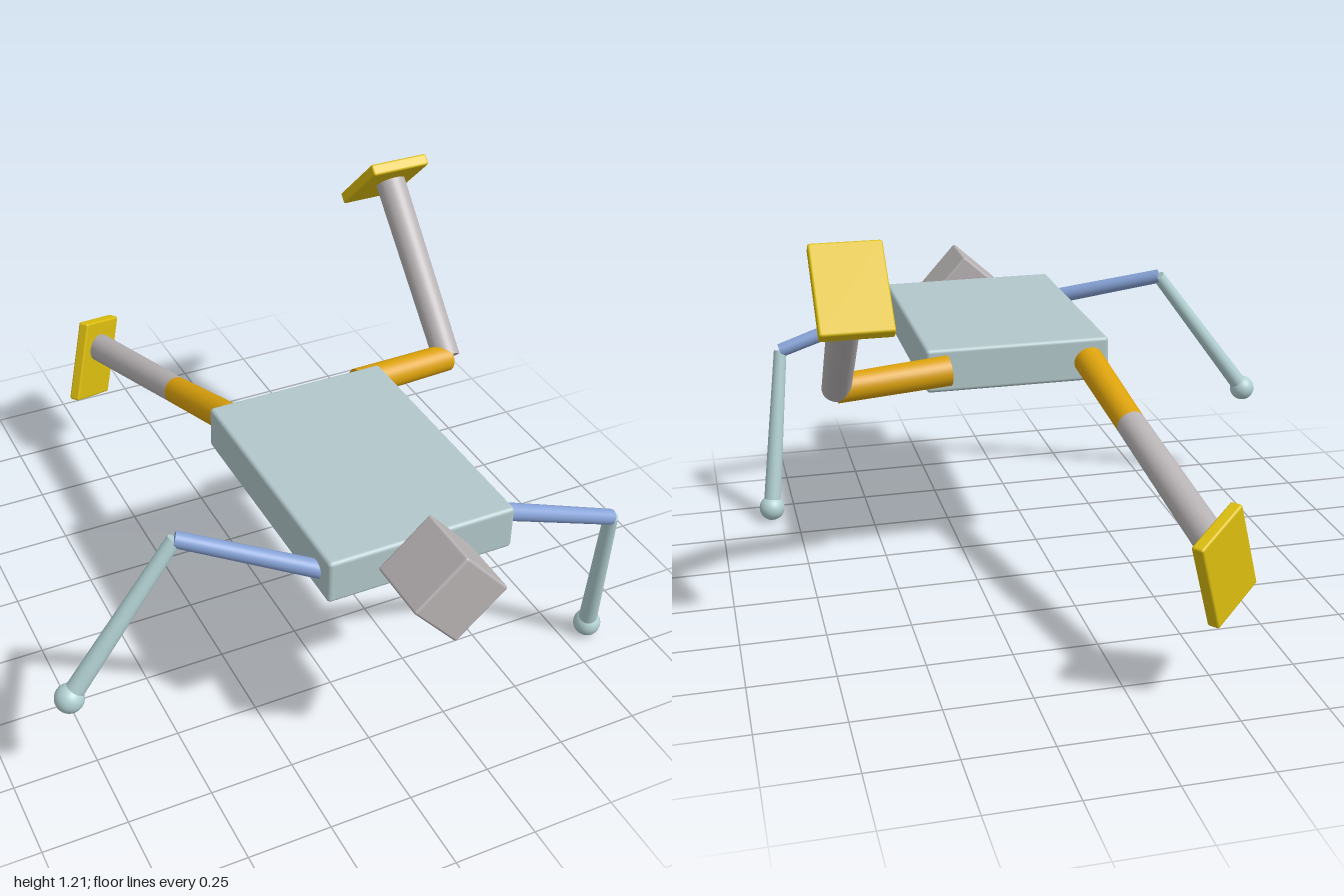
import * as THREE from 'three';
import { RoundedBoxGeometry } from 'three/addons/geometries/RoundedBoxGeometry.js';

export function createModel() {
  const root = new THREE.Group();
  root.name = 'posedFigure';

  const mat = (name, color) => {
    const m = new THREE.MeshStandardMaterial({ color });
    m.name = name;
    return m;
  };
  const paleBlue = mat('pale blue grey', 0xb2c7cb);
  const paleCyan = mat('pale cyan', 0xb2d0d2);
  const blue = mat('soft blue', 0x86a2d6);
  const grey = mat('warm grey', 0xb8b3b4);
  const orange = mat('orange', 0xdca20c);
  const yellow = mat('yellow', 0xdcbe0e);

  const V = (p) => new THREE.Vector3(...p);

  const add = (parent, name, geometry, material, position) => {
    const mesh = new THREE.Mesh(geometry, material);
    mesh.name = name;
    mesh.position.copy(position);
    parent.add(mesh);
    return mesh;
  };

  // Capped, slightly tapered limb segment between two points
  const segment = (parent, name, a, b, rA, rB, material) => {
    const from = V(a), dir = V(b).sub(from);
    const mesh = add(parent, name, new THREE.CylinderGeometry(rB, rA, dir.length(), 32), material,
      from.clone().addScaledVector(dir, 0.5));
    mesh.quaternion.setFromUnitVectors(new THREE.Vector3(0, 1, 0), dir.normalize());
  };

  // Torso slab and the head, a cube turned on its corner
  add(root, 'torso', new RoundedBoxGeometry(0.565, 0.135, 0.785, 3, 0.012), paleBlue, V([0.108, 0.695, 0.405]));
  const head = add(root, 'head', new RoundedBoxGeometry(0.2, 0.2, 0.2, 3, 0.008), grey, V([0.108, 0.697, 0.9]));
  head.rotation.z = Math.PI / 4 - 0.05;

  // Arms: shoulder, elbow, wrist and ball hand
  const arms = [
    { name: 'leftArm', shoulder: [0.385, 0.703, 0.727], elbow: [0.765, 0.568, 0.745], hand: [0.831, 0.045, 0.637] },
    { name: 'rightArm', shoulder: [-0.165, 0.693, 0.73], elbow: [-0.51, 0.79, 0.563], hand: [-0.834, 0.357, 0.574] },
  ];
  for (const { name, shoulder, elbow, hand } of arms) {
    const arm = new THREE.Group();
    arm.name = name;
    root.add(arm);
    const wrist = V(elbow).lerp(V(hand), 0.95).toArray();
    segment(arm, 'upperArm', shoulder, elbow, 0.026, 0.023, blue);
    segment(arm, 'forearm', elbow, wrist, 0.021, 0.028, paleCyan);
    add(arm, 'hand', new THREE.SphereGeometry(0.042, 32, 20), paleCyan, V(hand));
  }

  // Legs: hip, knee, ankle and a flat foot set by its width and length directions
  const legs = [
    {
      name: 'leftLeg', hip: [0.325, 0.7, 0], knee: [0.665, 0.683, -0.035], ankle: [0.665, 1.11, -0.448],
      foot: [0.664, 1.102, -0.489], across: [1, 0, 0], along: [0, -0.697, -0.717],
    },
    {
      name: 'rightLeg', hip: [-0.107, 0.698, 0], knee: [-0.143, 0.605, -0.328], ankle: [-0.205, 0.455, -0.893],
      foot: [-0.225, 0.412, -0.905], across: [0.15, -0.055, -0.113], along: [-0.075, -0.262, 0.06],
    },
  ];
  for (const { name, hip, knee, ankle, foot, across, along } of legs) {
    const leg = new THREE.Group();
    leg.name = name;
    root.add(leg);
    segment(leg, 'thigh', hip, knee, 0.046, 0.043, orange);
    segment(leg, 'shin', knee, ankle, 0.043, 0.047, grey);
    const sole = add(leg, 'foot', new RoundedBoxGeometry(0.196, 0.276, 0.037, 3, 0.007), yellow, V(foot));
    const y = V(along).normalize();
    const z = V(across).cross(y).normalize();
    const x = y.clone().cross(z);
    sole.quaternion.setFromRotationMatrix(new THREE.Matrix4().makeBasis(x, y, z));
  }

  return root;
}
